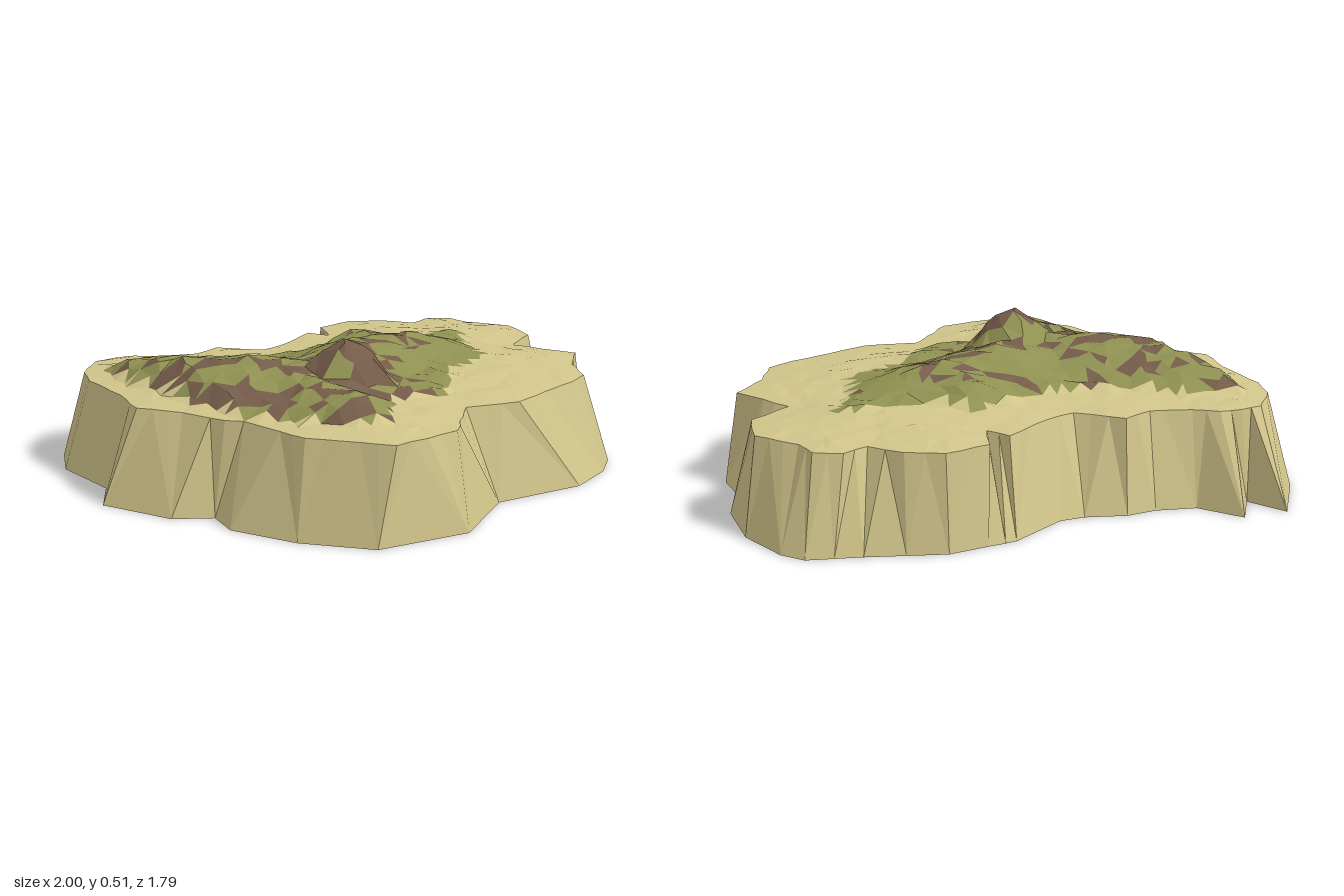
import * as THREE from 'three';

const RIM_Y = 0.32, CELL = 0.056;

// Island outline at the ground, as [x, z] corners
const FOOT = [
  [-0.76, -0.86], [-0.68, -0.72], [-0.6, -0.87], [-0.49, -0.73], [-0.35, -0.71], [-0.24, -0.73], [-0.1, -0.7], [-0.01, -0.71],
  [0.19, -0.85], [0.23, -0.86], [0.29, -0.87], [0.43, -0.9], [0.56, -0.87], [0.69, -0.84], [0.78, -0.825], [0.87, -0.81],
  [0.93, -0.74], [1, -0.54], [1, -0.29], [0.93, -0.2], [0.95, 0.05], [0.86, 0.2], [0.81, 0.4], [0.71, 0.51],
  [0.53, 0.62], [0.18, 0.65], [-0.08, 0.88], [-0.42, 0.89], [-0.61, 0.71], [-0.74, 0.49], [-0.73, 0.35], [-0.86, 0.29],
  [-1, 0.04], [-0.92, -0.14], [-0.96, -0.43], [-0.9, -0.61],
];
// Matching corners of the cliff edge
const RIM = [
  [-0.74, -0.68], [-0.66, -0.7], [-0.58, -0.7], [-0.5, -0.65], [-0.36, -0.62], [-0.25, -0.68], [-0.11, -0.56], [0, -0.61],
  [0.18, -0.75], [0.23, -0.67], [0.27, -0.82], [0.43, -0.87], [0.55, -0.82], [0.64, -0.72], [0.73, -0.77], [0.82, -0.73],
  [0.84, -0.63], [0.95, -0.49], [0.92, -0.3], [0.77, -0.18], [0.9, 0.05], [0.78, 0.2], [0.72, 0.36], [0.62, 0.43],
  [0.3, 0.58], [0.1, 0.56], [-0.08, 0.8], [-0.34, 0.865], [-0.55, 0.65], [-0.63, 0.37], [-0.68, 0.33], [-0.76, 0.17],
  [-0.87, 0.04], [-0.85, -0.15], [-0.87, -0.4], [-0.84, -0.53],
];
// Edge of the overgrown highland
const HIGHLAND = [
  [-0.78, -0.5], [-0.55, -0.5], [-0.3, -0.34], [0, -0.37], [0.22, -0.5], [0.3, -0.38], [0.68, -0.4], [0.55, -0.2], [0.5, 0.05],
  [0.3, 0.15], [0.1, 0.42], [-0.1, 0.42], [-0.25, 0.65], [-0.38, 0.63], [-0.6, 0.35], [-0.7, 0.1], [-0.72, -0.15], [-0.77, -0.25],
];
// Ridges: start, end, start height, end height, half width
const RIDGES = [
  [[-0.65, -0.18], [-0.42, 0], 0.42, 0.44, 0.34],
  [[-0.42, 0], [-0.2, 0.14], 0.44, 0.43, 0.26],
  [[-0.2, 0.1], [0, -0.06], 0.43, 0.445, 0.28],
  [[0, -0.06], [0.28, -0.18], 0.445, 0.42, 0.25],
  [[0.12, -0.12], [0.2, -0.36], 0.43, 0.41, 0.18],
  [[0.28, -0.18], [0.5, -0.26], 0.39, 0.36, 0.2],
  [[-0.36, 0.2], [-0.3, 0.54], 0.42, 0.41, 0.16],
];

const clamp = THREE.MathUtils.clamp, lerp = THREE.MathUtils.lerp;
const hash = (a, b) => {
  const s = Math.sin(a * 127.1 + b * 311.7) * 43758.5453;
  return s - Math.floor(s);
};

// Distance from a point to a segment, and the position along it
function toSegment(x, z, a, b) {
  const dx = b[0] - a[0], dz = b[1] - a[1];
  const t = clamp(((x - a[0]) * dx + (z - a[1]) * dz) / (dx * dx + dz * dz), 0, 1);
  return { d: Math.hypot(x - a[0] - dx * t, z - a[1] - dz * t), t };
}

// Depth inside an outline, negative when outside
function depthIn(outline, x, z) {
  let inside = false, d = Infinity;
  outline.forEach((a, i) => {
    const b = outline[(i + 1) % outline.length];
    d = Math.min(d, toSegment(x, z, a, b).d);
    if ((a[1] > z) !== (b[1] > z) && x < a[0] + (b[0] - a[0]) * (z - a[1]) / (b[1] - a[1])) inside = !inside;
  });
  return inside ? d : -d;
}

function heightAt(x, z) {
  const base = RIM_Y + 0.028 * clamp(depthIn(RIM, x, z) / 0.28, 0, 1) + 0.006 * (hash(x, z) - 0.5);
  const depth = depthIn(HIGHLAND, x, z);
  if (depth <= 0) return base;
  let h = 0.355;
  for (const [a, b, ha, hb, w] of RIDGES) {
    const s = toSegment(x, z, a, b);
    h = Math.max(h, lerp(lerp(ha, hb, s.t), 0.35, Math.pow(clamp(s.d / w, 0, 1), 1.2)));
  }
  // Rounded summit
  const r = Math.hypot((x + 0.16) / 0.12, (z - 0.2) / 0.12);
  h = Math.max(h, 0.515 - 0.1 * Math.pow(r, 2.2)) + 0.014 * (hash(x * 3, z * 5) - 0.5);
  return base + Math.max(0, Math.min(h - base, depth * 0.95));
}

// Sand at the margins, otherwise grass with patches of bare earth
function groundAt(x, z) {
  if (depthIn(HIGHLAND, x, z) < 0) return 'sand';
  let bare = x > 0.3 ? 0.08 : 0.22;
  if (toSegment(x, z, [-0.66, 0.12], [-0.36, 0.56]).d < 0.09) bare = 0.6;
  if (toSegment(x, z, [-0.7, -0.12], [-0.34, 0.16]).d < 0.06) bare = 0.7;
  if (Math.hypot(x + 0.16, z - 0.26) < 0.12) bare = 0.95;
  return hash(Math.floor(x / 0.065), Math.floor(z / 0.05)) < bare ? 'earth' : 'grass';
}

// Delaunay triangulation of [x, z] points, adding them one at a time
function triangulate(points) {
  const all = [...points, [-20, -20], [20, -20], [0, 30]], n = points.length;
  const makeTri = (i, j, k) => {
    const [ax, az] = all[i], bx = all[j][0] - ax, bz = all[j][1] - az, cx = all[k][0] - ax, cz = all[k][1] - az;
    const d = 2 * (bx * cz - bz * cx), b2 = bx * bx + bz * bz, c2 = cx * cx + cz * cz;
    const ux = (cz * b2 - bz * c2) / d, uz = (bx * c2 - cx * b2) / d;
    return { v: [i, j, k], x: ax + ux, z: az + uz, r2: ux * ux + uz * uz };
  };
  let tris = [makeTri(n, n + 1, n + 2)];
  points.forEach(([x, z], p) => {
    const edges = new Map(), keep = [];
    for (const t of tris) {
      if ((t.x - x) ** 2 + (t.z - z) ** 2 >= t.r2) { keep.push(t); continue; }
      t.v.forEach((a, i) => {
        const b = t.v[(i + 1) % 3];
        if (!edges.delete(b + '_' + a)) edges.set(a + '_' + b, [a, b]);
      });
    }
    for (const [a, b] of edges.values()) keep.push(makeTri(a, b, p));
    tris = keep;
  });
  return tris.map((t) => t.v).filter((v) => v.every((i) => i < n));
}

function makeMesh(name, points, color) {
  const geo = new THREE.BufferGeometry();
  geo.setAttribute('position', new THREE.Float32BufferAttribute(points.flat(), 3));
  geo.computeVertexNormals();
  const mesh = new THREE.Mesh(geo, new THREE.MeshStandardMaterial({ color, flatShading: true, side: THREE.DoubleSide }));
  mesh.name = name;
  return mesh;
}

export function createModel() {
  const group = new THREE.Group();
  group.name = 'island';

  // Cliffs: a jagged edge, with wedges fanning up from each foot corner
  const cliff = [], edge = [];
  RIM.forEach((a, i) => {
    const j = (i + 1) % RIM.length, b = RIM[j];
    const dx = b[0] - a[0], dz = b[1] - a[1], steps = Math.ceil(Math.hypot(dx, dz) / 0.07);
    const row = [];
    for (let s = 0; s <= steps; s++) {
      const f = s / steps, push = s % steps ? 0.16 * (hash(i, s) - 0.5) / steps : 0;
      row.push([a[0] + dx * f - dz * push, RIM_Y, a[1] + dz * f + dx * push]);
    }
    edge.push(...row.slice(0, -1).map((p) => [p[0], p[2]]));
    const [b0, b1] = [FOOT[i], FOOT[j]].map(([x, z]) => [x, 0, z]);
    const turn = Math.round(steps * (0.25 + 0.5 * hash(i, 3)));
    for (let s = 0; s < steps; s++) cliff.push(s < turn ? b0 : b1, row[s], row[s + 1]);
    cliff.push(b1, b0, row[turn]);
  });
  group.add(makeMesh('cliffs', cliff, 0xd2c58b));

  // Terrain: scattered points joined to the cliff edge
  const points = [...edge];
  for (let i = -18; i <= 18; i++) {
    for (let k = -18; k <= 18; k++) {
      const x = (i + 0.7 * (hash(i, k) - 0.5)) * CELL, z = (k + 0.7 * (hash(k + 40, i) - 0.5)) * CELL;
      if (depthIn(edge, x, z) > 0.035) points.push([x, z]);
    }
  }
  const verts = points.map(([x, z], i) => [x, i < edge.length ? RIM_Y : heightAt(x, z), z]);
  const ground = { sand: [], grass: [], earth: [] };
  for (const [i, j, k] of triangulate(points)) {
    const a = verts[i], b = verts[j], c = verts[k];
    const x = (a[0] + b[0] + c[0]) / 3, z = (a[2] + b[2] + c[2]) / 3;
    if (depthIn(edge, x, z) < 0) continue;
    const up = (b[2] - a[2]) * (c[0] - a[0]) - (b[0] - a[0]) * (c[2] - a[2]) > 0;
    ground[groundAt(x, z)].push(a, ...(up ? [b, c] : [c, b]));
  }
  group.add(makeMesh('sandyPlateau', ground.sand, 0xd2c58b));
  group.add(makeMesh('grassyHills', ground.grass, 0x8f9152));
  group.add(makeMesh('bareEarth', ground.earth, 0x755c4a));
  return group;
}
